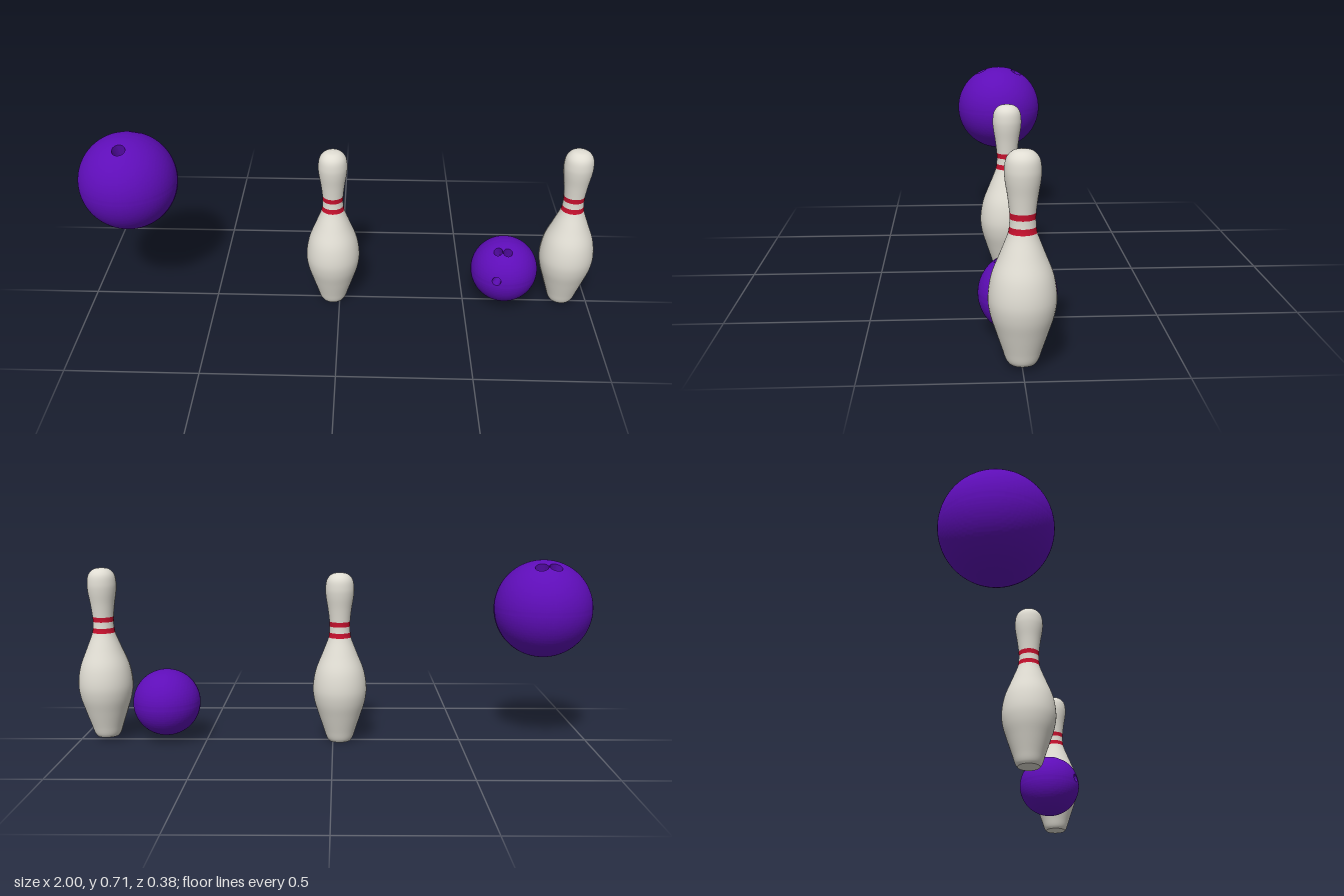
import * as THREE from 'three';
import { toCreasedNormals } from 'three/addons/utils/BufferGeometryUtils.js';

const mat = (name, color) => Object.assign(new THREE.MeshStandardMaterial({ color }), { name });

// Pin outline as [radius, height]; points 8, 9, 10 and 11 are the stripe edges.
const OUTLINE = [
  [0.043, 0], [0.051, 0.012], [0.062, 0.045], [0.082, 0.105], [0.099, 0.16], [0.105, 0.21],
  [0.095, 0.28], [0.068, 0.35], [0.0435, 0.414], [0.0408, 0.433], [0.0395, 0.457], [0.0403, 0.476],
  [0.046, 0.525], [0.054, 0.575], [0.0555, 0.605], [0.049, 0.64], [0.03, 0.66], [0, 0.666],
];

function makePin(name, ivory, red) {
  const pin = new THREE.Group();
  pin.name = name;
  const curve = new THREE.CatmullRomCurve3(OUTLINE.map(([r, y]) => new THREE.Vector3(r, y, 0)));
  const section = (part, from, to, material) => {
    const points = [];
    const steps = (to - from) * 5;
    for (let i = 0; i <= steps; i++) {
      const p = curve.getPoint((from + i / 5) / (OUTLINE.length - 1));
      points.push(new THREE.Vector2(Math.max(p.x, 0), p.y));
    }
    const mesh = new THREE.Mesh(new THREE.LatheGeometry(points, 48), material);
    mesh.name = part;
    pin.add(mesh);
  };
  section('pinBody', 0, 8, ivory);
  section('lowerStripe', 8, 9, red);
  section('neckBand', 9, 10, ivory);
  section('upperStripe', 10, 11, red);
  section('pinHead', 11, OUTLINE.length - 1, ivory);

  // Flat underside
  const base = new THREE.Mesh(new THREE.CircleGeometry(OUTLINE[0][0], 48), ivory);
  base.name = 'pinBase';
  base.rotation.x = Math.PI / 2;
  pin.add(base);
  return pin;
}

// Sphere with finger holes: vertices near a rim snap to it, those inside sink inwards.
function makeBall(name, radius, holes, material) {
  const geo = new THREE.IcosahedronGeometry(1, 45);
  const axes = holes.map((h) => new THREE.Vector3(...h).normalize());
  const pos = geo.attributes.position;
  const v = new THREE.Vector3();
  const side = new THREE.Vector3();
  const rim = 0.134;
  const snap = 0.014;
  for (let i = 0; i < pos.count; i++) {
    v.fromBufferAttribute(pos, i).normalize();
    let depth = 1;
    for (const axis of axes) {
      const angle = v.angleTo(axis);
      if (angle > rim + snap) continue;
      const inside = angle < rim - snap;
      const bent = inside ? Math.min(rim * 0.97, angle * 1.2) : rim;
      if (inside) depth = 0.55;
      side.copy(v).addScaledVector(axis, -v.dot(axis)).normalize();
      v.copy(axis).multiplyScalar(Math.cos(bent)).addScaledVector(side, Math.sin(bent));
      break;
    }
    v.multiplyScalar(radius * depth);
    pos.setXYZ(i, v.x, v.y, v.z);
  }
  const mesh = new THREE.Mesh(toCreasedNormals(geo, 0.6), material);
  mesh.name = name;
  return mesh;
}

export function createModel() {
  const model = new THREE.Group();
  model.name = 'bowlingSet';
  const ivory = mat('ivory', 0xe0ddd3);
  const red = mat('red', 0xc8102e);
  const purple = mat('purple', 0x5e0db8);

  // Two pins
  const middlePin = makePin('middlePin', ivory, red);
  middlePin.position.set(-0.027, 0, 0);
  const leftPin = makePin('leftPin', ivory, red);
  leftPin.position.set(0.893, 0.018, 0);

  // Two balls, each with a thumb hole and a pair of finger holes
  const largeBall = makeBall('largeBall', 0.188,
    [[-0.027, 0.168, -0.08], [0.027, 0.168, -0.08], [0, 0.168, 0.08]], purple);
  largeBall.position.set(-0.812, 0.527, 0);
  const smallBall = makeBall('smallBall', 0.131,
    [[-0.037, 0.113, 0.055], [0, 0.115, 0.063], [-0.043, 0.019, 0.122]], purple);
  smallBall.position.set(0.655, 0.153, 0);

  model.add(middlePin, leftPin, largeBall, smallBall);
  return model;
}
